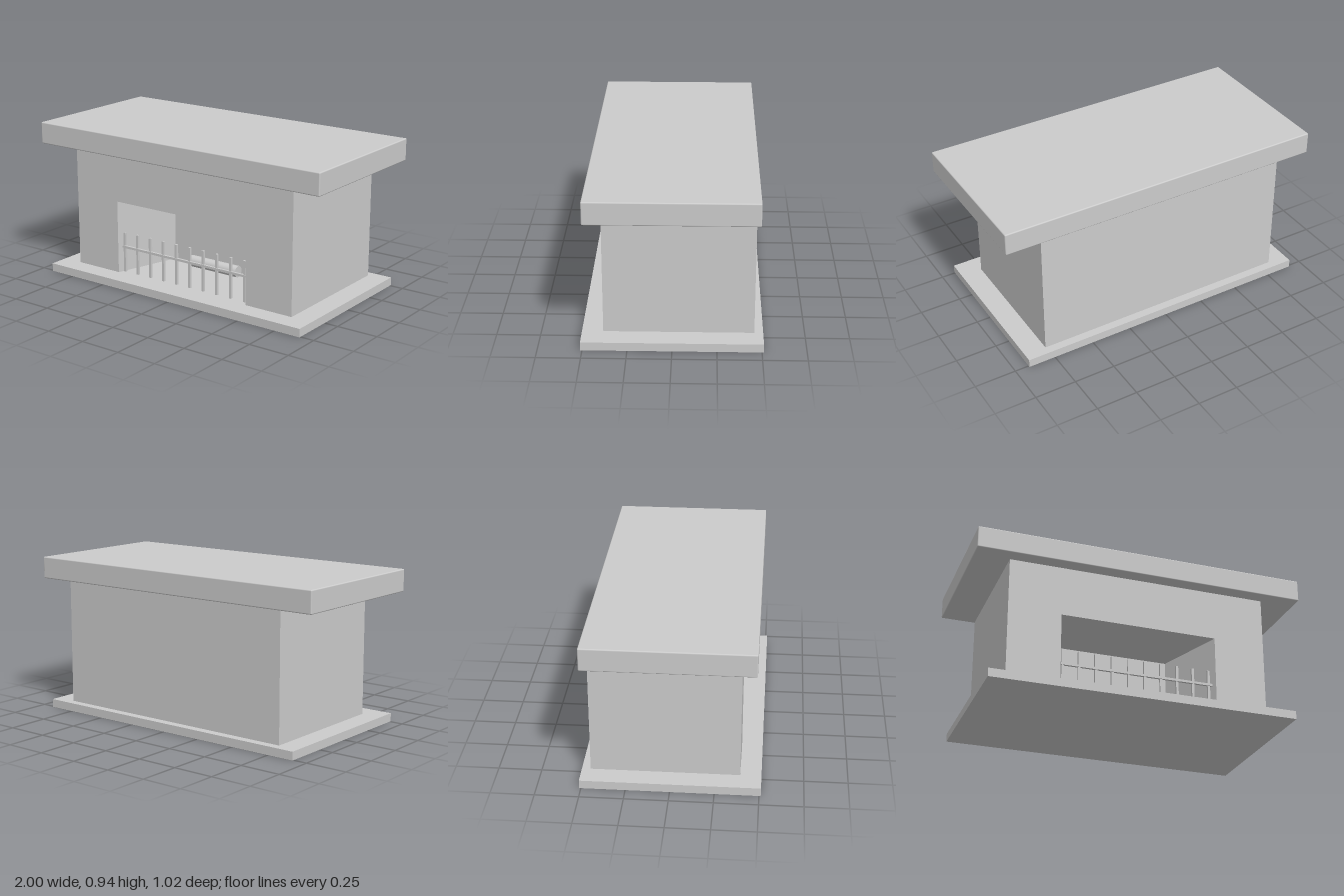
import * as THREE from 'three';
import { RoundedBoxGeometry } from 'three/addons/geometries/RoundedBoxGeometry.js';

export function createModel() {
  const model = new THREE.Group();
  model.name = 'fireplace';
  const material = new THREE.MeshStandardMaterial({ color: 0xcccccc });

  function add(name, geometry, x = 0, y = 0, z = 0, parent = model) {
    const mesh = new THREE.Mesh(geometry, material);
    mesh.name = name;
    mesh.position.set(x, y, z);
    parent.add(mesh);
    return mesh;
  }

  // Hearth slab and mantel slab with softened edges
  add('hearth', new THREE.BoxGeometry(1.83, 0.05, 1.02), 0, 0.025, 0);
  add('mantel', new RoundedBoxGeometry(2, 0.133, 0.95, 3, 0.007), 0, 0.8685, 0);

  // Lower body: floor plan with a splayed firebox notch, extruded upwards
  const left = 0.784, right = -0.79, front = 0.39, back = -0.46, fireboxBack = -0.02;
  const plan = new THREE.Shape([
    [right, front], [-0.475, front], [-0.355, fireboxBack], [0.315, fireboxBack],
    [0.47, front], [left, front], [left, back], [right, back],
  ].map(([x, z]) => new THREE.Vector2(x, -z)));
  const lower = new THREE.ExtrudeGeometry(plan, { depth: 0.45, bevelEnabled: false });
  lower.rotateX(-Math.PI / 2);
  add('firebox', lower, 0, 0.05, 0);

  // Upper body above the opening
  add('chimneyBreast', new THREE.BoxGeometry(left - right, 0.302, front - back),
    (left + right) / 2, 0.651, (front + back) / 2);

  // Firebox ceiling, sloping gently down to the back
  const wedge = new THREE.Shape([
    new THREE.Vector2(-front, 0.5), new THREE.Vector2(-fireboxBack, 0.49),
    new THREE.Vector2(-fireboxBack, 0.5),
  ]);
  const ceiling = new THREE.ExtrudeGeometry(wedge, { depth: 0.945, bevelEnabled: false });
  ceiling.rotateY(Math.PI / 2);
  add('fireboxCeiling', ceiling, -0.475, 0, 0);

  // Log lying across the firebox
  const log = new THREE.CylinderGeometry(0.035, 0.035, 0.35, 32);
  log.rotateZ(Math.PI / 2);
  add('log', log, 0.025, 0.106, 0.08);

  // Grate: upright bars joined by one rail
  const grate = new THREE.Group();
  grate.name = 'grate';
  model.add(grate);
  const bar = new THREE.BoxGeometry(0.015, 0.25, 0.015);
  for (let i = 0; i < 10; i++) add('grateBar', bar, -0.453 + i * 0.099, 0.175, 0.35, grate);
  add('grateRail', new THREE.BoxGeometry(0.93, 0.014, 0.014), 0, 0.21, 0.355, grate);

  return model;
}
